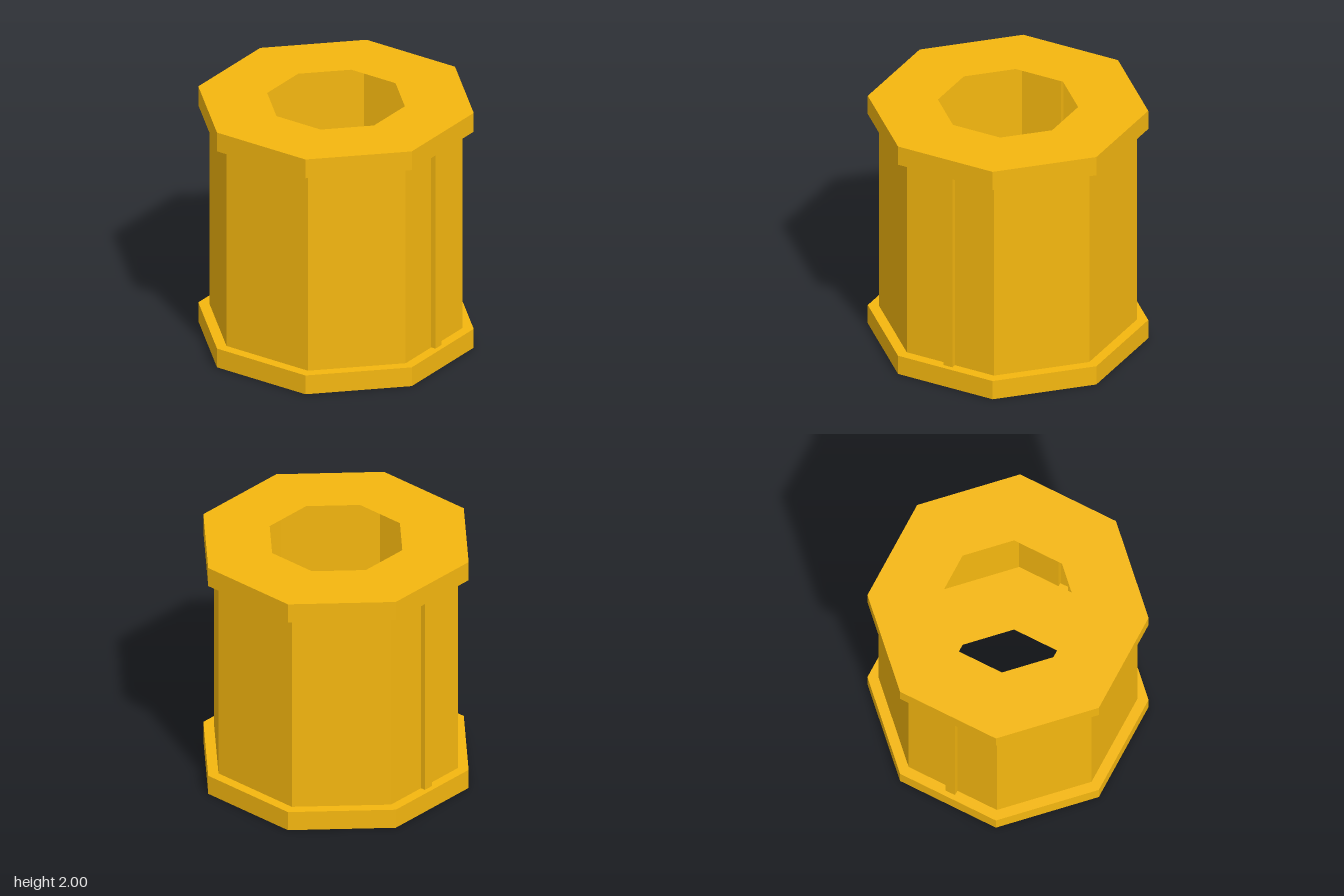
import * as THREE from 'three';

const material = new THREE.MeshStandardMaterial({
  color: 0xf5b70f, flatShading: true, side: THREE.DoubleSide,
});

const FLANGE = 0.16, HEIGHT = 2;

// Counter-clockwise octagon with flat sides facing the axes; a = distance to a side
function octagon(a) {
  const r = a / Math.cos(Math.PI / 8);
  return Array.from({ length: 8 }, (_, i) => {
    const t = (i - 0.5) * Math.PI / 4;
    return new THREE.Vector2(r * Math.cos(t), r * Math.sin(t));
  });
}

// Octagon of the body, with a narrow raised channel on the front and back sides
function bodyOutline(a, depth, halfWidth) {
  const points = [];
  octagon(a).forEach((p, i) => {
    points.push(p);
    if (i === 2 || i === 6) {
      const s = i === 2 ? 1 : -1;
      for (const [x, y] of [[1, a], [1, depth], [-1, depth], [-1, a]]) {
        points.push(new THREE.Vector2(s * x * halfWidth, s * y));
      }
    }
  });
  return points;
}

// Upright strip of quads following a closed outline
function wall(name, outline, y0, y1) {
  const positions = [];
  outline.forEach((p, i) => {
    const q = outline[(i + 1) % outline.length];
    const a = [p.x, y0, -p.y], b = [q.x, y0, -q.y];
    const c = [q.x, y1, -q.y], d = [p.x, y1, -p.y];
    positions.push(...a, ...b, ...c, ...a, ...c, ...d);
  });
  const geometry = new THREE.BufferGeometry();
  geometry.setAttribute('position', new THREE.Float32BufferAttribute(positions, 3));
  geometry.computeVertexNormals();
  const mesh = new THREE.Mesh(geometry, material);
  mesh.name = name;
  return mesh;
}

// Flat ring between two outlines, facing up (1) or down (-1)
function plate(name, outer, inner, y, facing) {
  const shape = new THREE.Shape(outer);
  shape.holes.push(new THREE.Path(inner));
  const geometry = new THREE.ShapeGeometry(shape);
  geometry.rotateX(-facing * Math.PI / 2).translate(0, y, 0);
  const mesh = new THREE.Mesh(geometry, material);
  mesh.name = name;
  return mesh;
}

export function createModel() {
  const model = new THREE.Group();
  model.name = 'octagonalSpool';
  const rim = octagon(1), hole = octagon(0.5);
  const body = bodyOutline(0.92, 0.96, 0.04);

  // Hollow body
  model.add(wall('bodyWall', body, FLANGE, HEIGHT - FLANGE));

  // Flanges: end plate with the opening, rim, and ledge around the body
  for (const top of [false, true]) {
    const flange = new THREE.Group();
    flange.name = top ? 'topFlange' : 'bottomFlange';
    const y0 = top ? HEIGHT - FLANGE : 0, y1 = y0 + FLANGE;
    const facing = top ? 1 : -1;
    flange.add(
      wall('flangeRim', rim, y0, y1),
      plate('endPlate', rim, hole, top ? y1 : y0, facing),
      plate('flangeLedge', rim, body, top ? y0 : y1, -facing),
    );
    model.add(flange);
  }
  return model;
}
